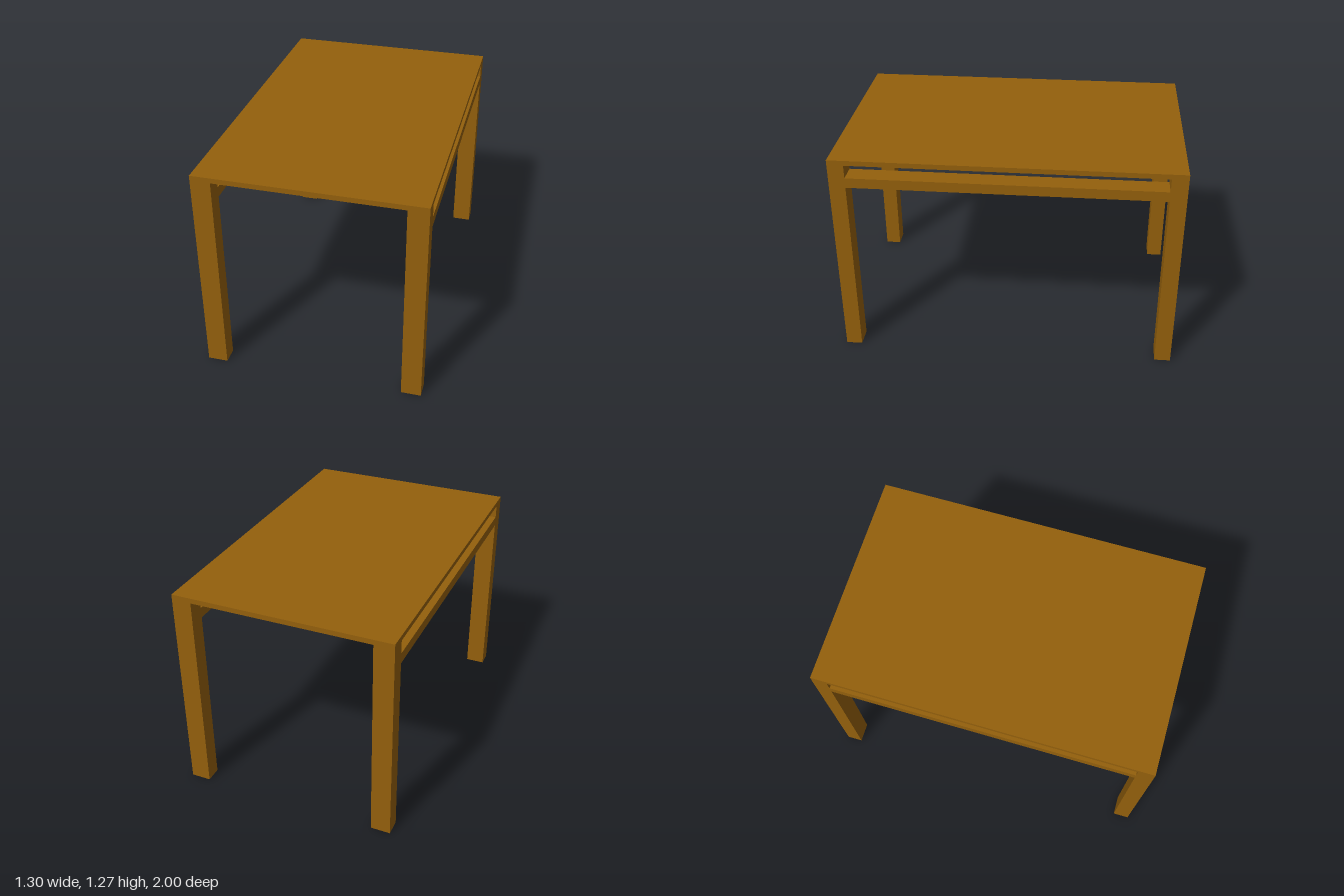
import * as THREE from 'three';

export function createModel() {
  const group = new THREE.Group();
  const wood = new THREE.MeshStandardMaterial({ color: 0x94600c });
  wood.name = 'brown wood';

  const W = 1.3, H = 1.274, D = 2;          // overall size
  const topT = 0.03, legW = 0.117, legD = 0.095;

  const box = (name, w, h, d, x, y, z) => {
    const mesh = new THREE.Mesh(new THREE.BoxGeometry(w, h, d), wood);
    mesh.name = name;
    mesh.position.set(x, y, z);
    group.add(mesh);
  };

  // Thin table top
  box('tableTop', W, topT, D, 0, H - topT / 2, 0);

  for (const [side, sx] of [['left', 1], ['right', -1]]) {
    const x = sx * (W - legW) / 2;
    // Legs at the corners, flush with the top's edges
    for (const [end, sz] of [['Front', 1], ['Back', -1]]) {
      box(`${side}${end}Leg`, legW, H - topT, legD, x, (H - topT) / 2, sz * (D - legD) / 2);
    }
    // Long rail between the legs, with a gap below the top
    box(`${side}Rail`, legW, 0.06, D - 2 * legD, x, 1.135, 0);
  }
  return group;
}
